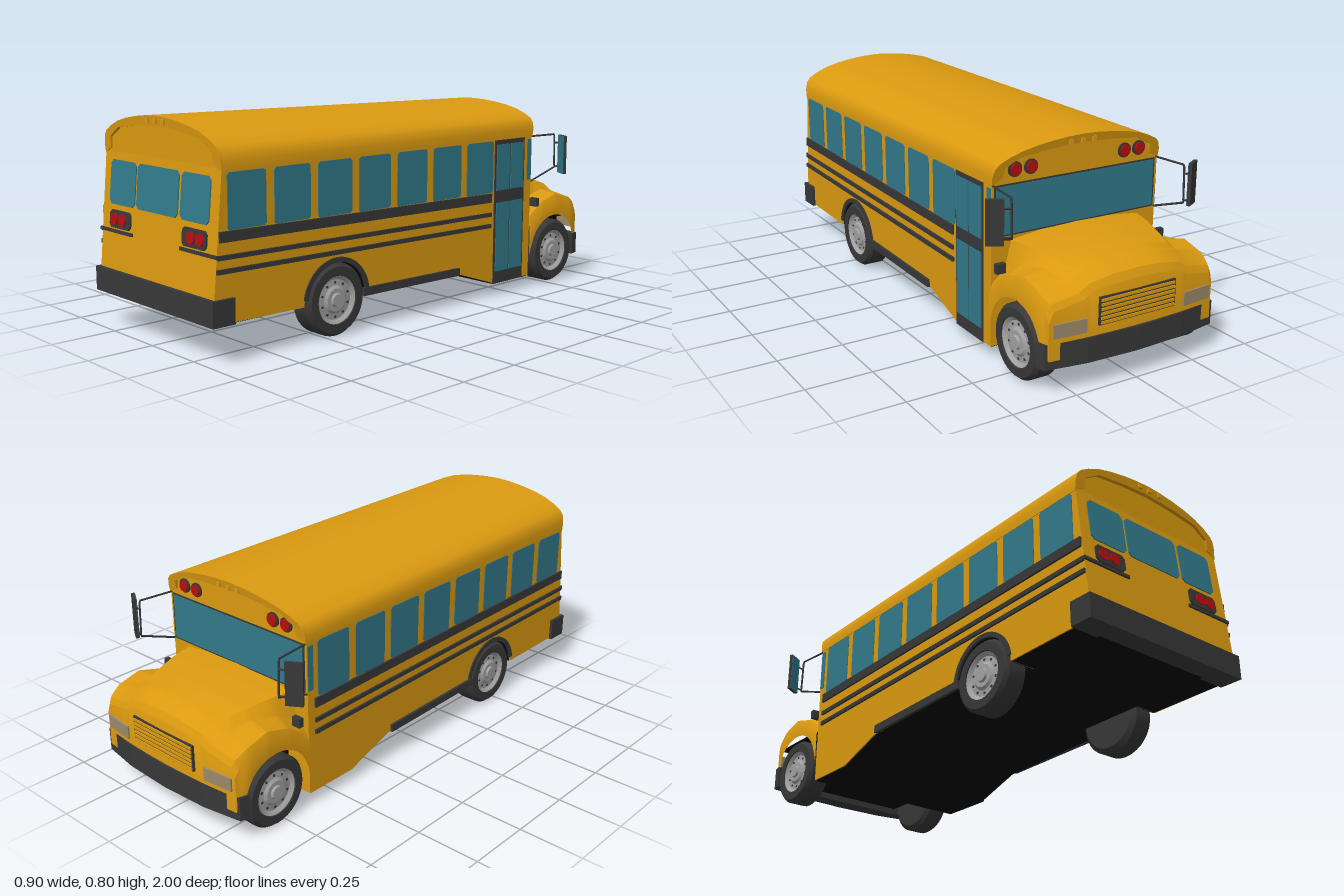
import * as THREE from 'three';
import { toCreasedNormals } from 'three/addons/utils/BufferGeometryUtils.js';

const mat = (name, color) => Object.assign(new THREE.MeshStandardMaterial({ color }), { name });

export function createModel() {
  const yellow = mat('busYellow', 0xdb9a10), glass = mat('tealGlass', 0x327a8b);
  const dark = mat('darkTrim', 0x383838), black = mat('underBlack', 0x050505);
  const red = mat('lampRed', 0xb80e10), grey = mat('hubGrey', 0xa2a2a2), lens = mat('headlampLens', 0x9c8a6a);
  const bus = new THREE.Group();
  bus.name = 'bus';

  const add = (name, geo, m, parent = bus) => {
    const mesh = new THREE.Mesh(geo, m);
    mesh.name = name;
    parent.add(mesh);
    return mesh;
  };
  const box = (name, m, x0, x1, y0, y1, z0, z1, parent) =>
    add(name, new THREE.BoxGeometry(x1 - x0, y1 - y0, z1 - z0), m, parent)
      .position.set((x0 + x1) / 2, (y0 + y1) / 2, (z0 + z1) / 2);
  const poly = pts => new THREE.Shape(pts.map(p => new THREE.Vector2(p[0], p[1])));
  const extrude = (shape, depth) => new THREE.ExtrudeGeometry(shape, { depth, bevelEnabled: false, curveSegments: 20 });
  // a (z, y) outline given thickness along x, between x0 and x1
  const sideSlab = (name, shape, m, x0, x1) =>
    add(name, extrude(shape, x1 - x0).rotateY(-Math.PI / 2).translate(x1, 0, 0), m);
  // rectangle with cut corners in the xy plane
  const chamfered = (x0, x1, y0, y1, c) => poly([[x0 + c, y0], [x1 - c, y0], [x1, y0 + c], [x1, y1 - c],
    [x1 - c, y1], [x0 + c, y1], [x0, y1 - c], [x0, y0 + c]]);
  const disc = (name, m, r, d, x, y, z, parent) =>
    add(name, new THREE.CylinderGeometry(r, r, d, 24).rotateX(Math.PI / 2), m, parent).position.set(x, y, z);

  // Body shell, with the rear wheel arches cut through
  const bodyOutline = (e, top, archR) => {
    const s = new THREE.Shape();
    s.moveTo(0.99 - 2 * e, 0.14 - e);
    if (top > 0.5) s.lineTo(0.985, 0.22).lineTo(0.945, top).lineTo(-0.635, top);
    else s.lineTo(0.97, top).lineTo(-0.63 + e, top);
    s.lineTo(-0.63 + e, 0.05 - e).lineTo(-0.41, 0.05 - e).lineTo(-0.2, 0.12 - e);
    if (archR) {
      s.lineTo(0.455 - archR, 0.134 - e);
      s.absarc(0.455, 0.134, archR, Math.PI, 0, true);
    }
    return s;
  };
  sideSlab('bodyShell', bodyOutline(0, 0.65, 0.15), yellow, -0.355, 0.355);
  sideSlab('underside', bodyOutline(0.004, 0.3, 0.146), black, -0.35, 0.35);
  sideSlab('chassisCore', bodyOutline(0.004, 0.3, 0), black, -0.25, 0.25);

  // Roof: arched section, lowering slightly toward the hood
  const half = [[0.357, 0.64], [0.357, 0.675], [0.35, 0.705], [0.335, 0.725], [0.3, 0.745], [0.25, 0.765],
    [0.195, 0.779], [0.13, 0.79], [0.065, 0.797]];
  const mirrored = (pts, mid) => [...pts, mid, ...pts.map(p => [-p[0], p[1]]).reverse()];
  const outer = mirrored(half, [0, 0.8]);
  const inner = mirrored([[0.315, 0.665], [0.31, 0.705], [0.25, 0.742], [0.13, 0.757]], [0, 0.764]);
  const roofPiece = (name, shape, z0, z1, lean0, lean1) => {
    const g = extrude(shape, z1 - z0).translate(0, 0, z0), p = g.attributes.position;
    for (let i = 0; i < p.count; i++) {
      const y = p.getY(i), front = Math.abs(p.getZ(i) - z0) < 1e-4;
      const z = p.getZ(i) + (y - 0.64) * (front ? lean0 : lean1);
      p.setXYZ(i, p.getX(i), 0.64 + (y - 0.64) * (0.925 + 0.075 * z), z);
    }
    add(name, toCreasedNormals(g, 0.6), yellow);
  };
  const rim = poly([...outer, ...inner.slice().reverse()]);
  roofPiece('roof', poly(outer), -0.636, 0.944, 0, 0);
  roofPiece('rearRoofRim', rim, 0.944, 0.946, 0, 0.1);
  roofPiece('frontRoofRim', rim, -0.638, -0.636, -0.16, 0);
  for (const x of [-0.048, 0, 0.05]) {
    box('rearMarkerLamp', yellow, x - 0.008, x + 0.008, 0.772, 0.79, 0.945, 0.966);
    box('frontMarkerLamp', yellow, x - 0.008, x + 0.008, 0.748, 0.765, -0.666, -0.645);
  }

  // Side trim and windows; the belt line drops gently toward the hood
  const drop = z => 0.016 * (z - 0.95);
  const strip = (z0, z1, y0, y1) => poly([[z0, y0 + drop(z0)], [z1, y0 + drop(z1)], [z1, y1 + drop(z1)], [z0, y1 + drop(z0)]]);
  for (const s of [1, -1]) {
    const slab = (name, shape, m, t, inset = 0.003) =>
      s > 0 ? sideSlab(name, shape, m, 0.355 - inset, 0.355 + t) : sideSlab(name, shape, m, -0.355 - t, -0.355 + inset);
    const front = s > 0 ? -0.38 : -0.6;
    slab('beltBand', strip(front, 0.962, 0.412, 0.448), dark, 0.008);
    slab('upperRubRail', strip(front, 0.972, 0.354, 0.37), dark, 0.008);
    slab('lowerRubRail', strip(front, 0.975, 0.308, 0.324), dark, 0.008);
    slab('skirtRail', strip(-0.19, 0.33, 0.138, 0.168), dark, 0.01);
    for (let i = 0; i < (s > 0 ? 7 : 8); i++) {
      const z = 0.847 - 0.193 * i, b = 0.45 + drop(z);
      slab('sideWindow', chamfered(z - 0.079, z + 0.079, b, 0.638, 0.008), glass, 0.003);
    }
    slab('windshieldCorner', poly([[-0.632, 0.46], [-0.607, 0.46], [-0.607, 0.63], [-0.632, 0.63]]), glass, 0.003);
    // rear arch trim
    const arch = new THREE.Shape();
    arch.absarc(0.455, 0.134, 0.156, 0.15, Math.PI - 0.15, false);
    arch.absarc(0.455, 0.134, 0.138, Math.PI - 0.15, 0.15, true);
    slab('wheelArchTrim', arch, dark, 0.006);
  }

  // Folding door on the left side
  box('doorFrame', dark, 0.35, 0.359, 0.05, 0.64, -0.585, -0.4);
  for (const z of [-0.576, -0.489]) {
    box('doorUpperGlass', glass, 0.355, 0.362, 0.435, 0.622, z, z + 0.08);
    box('doorLowerGlass', glass, 0.355, 0.362, 0.1, 0.385, z, z + 0.08);
  }

  // Rear wall fittings, leaning with the wall
  const rear = new THREE.Group();
  rear.name = 'rearWallFittings';
  rear.position.set(0, 0.22, 0.985);
  rear.rotation.x = -Math.atan(0.04 / 0.43);
  bus.add(rear);
  for (const [a, b] of [[-0.31, -0.143], [-0.132, 0.124], [0.139, 0.305]])
    add('rearWindow', extrude(chamfered(a, b, 0.243, 0.404, 0.014), 0.004), glass, rear);
  for (const s of [1, -1]) {
    const [a, b] = s > 0 ? [0.16, 0.3] : [-0.3, -0.163];
    add('tailLampPanel', extrude(chamfered(a, b, 0.158, 0.223, 0.012), 0.006), dark, rear);
    for (const x of [0.214, 0.266]) disc('tailLamp', red, 0.022, 0.01, s * x, 0.19, 0.006, rear);
    box('rearRubRail', dark, s > 0 ? 0.15 : -0.36, s > 0 ? 0.36 : -0.15, 0.14, 0.152, -0.01, 0.007, rear);
  }
  box('rearBumper', dark, -0.367, 0.367, 0.135, 0.225, 0.91, 1);

  // Windshield and warning lamps
  box('windshieldFrame', dark, -0.345, 0.345, 0.452, 0.638, -0.637, -0.63);
  box('windshield', glass, -0.338, 0.338, 0.458, 0.632, -0.639, -0.632);
  for (const s of [1, -1]) for (const x of [0.2, 0.265]) {
    disc('warningLampBezel', dark, 0.027, 0.008, s * x, 0.687, -0.639);
    disc('warningLamp', red, 0.021, 0.014, s * x, 0.687, -0.642);
  }

  // Hood and fenders lofted from cross-sections:
  // z, centre height, hood half width, hood edge height, crease x, crease y, fender height
  const keys = [
    [-0.63, 0.455, 0.275, 0.435, 0.3, 0.33, 0.29],
    [-0.72, 0.45, 0.255, 0.432, 0.285, 0.375, 0.35],
    [-0.82, 0.44, 0.23, 0.418, 0.262, 0.388, 0.378],
    [-0.92, 0.42, 0.205, 0.398, 0.24, 0.372, 0.352],
    [-0.975, 0.392, 0.19, 0.372, 0.225, 0.348, 0.325],
    [-0.99, 0.36, 0.18, 0.345, 0.215, 0.325, 0.3]];
  const section = k => {
    const [z, yc, wh, yh, xc, yk, yf] = k;
    const f = Math.max(0, (-z - 0.9) / 0.09), w = 0.361 - 0.016 * f * f;
    const arch = 0.134 + Math.sqrt(Math.max(0, 0.0243 - (z + 0.795) ** 2));
    const side = [[w, Math.max(0.13, arch)], [w, yf - 0.035], [w - 0.015, yf], [xc, yk], [wh, yh], [wh * 0.5, yc - 0.004]];
    return [...side.map(p => [-p[0], p[1]]), [0, yc], ...side.reverse()]
      .map(([x, y]) => [x, y, z + f * 0.022 * (x / 0.36) ** 2]);
  };
  const rows = [];
  for (let i = 0; i < 5; i++) for (let j = 0; j < 6; j++)
    rows.push(section(keys[i].map((v, n) => v + (keys[i + 1][n] - v) * j / 6)));
  rows.push(section(keys[5]));
  rows.push(rows[rows.length - 1].map(([x, , z]) => [x, 0.13, z])); // nose face
  const n = rows[0].length, index = [];
  for (let r = 0; r < rows.length - 1; r++) for (let c = 0; c < n - 1; c++) {
    const a = r * n + c;
    index.push(a, a + 1, a + n, a + 1, a + n + 1, a + n);
  }
  const hood = new THREE.BufferGeometry();
  hood.setAttribute('position', new THREE.Float32BufferAttribute(rows.flat(2), 3));
  hood.setIndex(index);
  add('hoodAndFenders', toCreasedNormals(hood, 0.5), yellow);
  box('fenderLiner', black, -0.34, 0.34, 0.274, 0.282, -0.95, -0.63);
  box('engineUnderside', black, -0.25, 0.25, 0.125, 0.28, -0.965, -0.62);

  // Grille, headlamps and front bumper
  box('grille', dark, -0.16, 0.16, 0.225, 0.325, -0.994, -0.985);
  for (let i = 0; i < 6; i++) box('grilleBar', yellow, -0.155, 0.155, 0.229 + i * 0.016, 0.239 + i * 0.016, -0.998, -0.99);
  for (const s of [1, -1]) {
    const lamp = add('headlamp', new THREE.BoxGeometry(0.125, 0.05, 0.009), lens);
    lamp.position.set(s * 0.268, 0.235, -0.979);
    lamp.rotation.y = -s * 0.09;
    box('hoodLatch', dark, s * 0.345 - 0.018, s * 0.345 + 0.018, 0.34, 0.375, -0.685, -0.665);
  }
  const bumper = poly([[-0.365, 0.925], [-0.357, 0.965], [-0.2, 0.991], [0, 1], [0.2, 0.991], [0.357, 0.965], [0.365, 0.925]]);
  add('frontBumper', extrude(bumper, 0.09).rotateX(-Math.PI / 2).translate(0, 0.1, 0), dark);

  // Mirrors on bent arms
  for (const s of [1, -1]) {
    const rod = (name, pts) => {
      const path = new THREE.CurvePath(), v = pts.map(p => new THREE.Vector3(s * p[0], p[1], p[2]));
      for (let i = 1; i < v.length; i++) path.add(new THREE.LineCurve3(v[i - 1], v[i]));
      add(name, new THREE.TubeGeometry(path, 40, 0.004, 6), dark);
    };
    rod('mirrorArm', [[0.35, 0.64, -0.63], [0.366, 0.64, -0.775], [0.366, 0.5, -0.78], [0.352, 0.45, -0.635]]);
    for (const y of [0.605, 0.505]) rod('mirrorBracket', [[0.366, y, -0.779], [0.4, y, -0.77]]);
    const mirror = new THREE.Group();
    mirror.name = 'mirror';
    mirror.position.set(s * 0.419, 0.56, -0.758);
    mirror.rotation.y = -s * 0.55;
    box('mirrorHousing', dark, -0.031, 0.031, -0.08, 0.08, -0.009, 0.004, mirror);
    box('mirrorGlass', glass, -0.03, 0.03, -0.079, 0.079, 0, 0.006, mirror);
    bus.add(mirror);
  }

  // Wheels
  const lathe = pts => toCreasedNormals(
    new THREE.LatheGeometry(pts.map(p => new THREE.Vector2(...p)), 32).rotateZ(-Math.PI / 2), 0.5);
  const tire = lathe([[0, -0.05], [0.115, -0.05], [0.134, -0.035], [0.134, 0.035], [0.122, 0.05], [0.09, 0.05], [0.085, 0.03]]);
  const hub = lathe([[0.088, 0.046], [0.074, 0.034], [0.052, 0.036], [0.042, 0.044], [0.026, 0.044], [0.022, 0.052], [0, 0.052]]);
  for (const s of [1, -1]) for (const z of [0.455, -0.795]) {
    const wheel = new THREE.Group();
    wheel.name = 'wheel';
    wheel.position.set(s * 0.31, 0.134, z);
    if (s < 0) wheel.rotation.y = Math.PI;
    add('tire', tire, dark, wheel);
    add('hub', hub, grey, wheel);
    for (let i = 0; i < 10; i++) {
      const a = i * Math.PI / 5;
      add('hubHole', new THREE.CylinderGeometry(0.005, 0.005, 0.006, 8).rotateZ(Math.PI / 2), dark, wheel)
        .position.set(0.034, 0.063 * Math.cos(a), 0.063 * Math.sin(a));
    }
    bus.add(wheel);
  }
  return bus;
}
